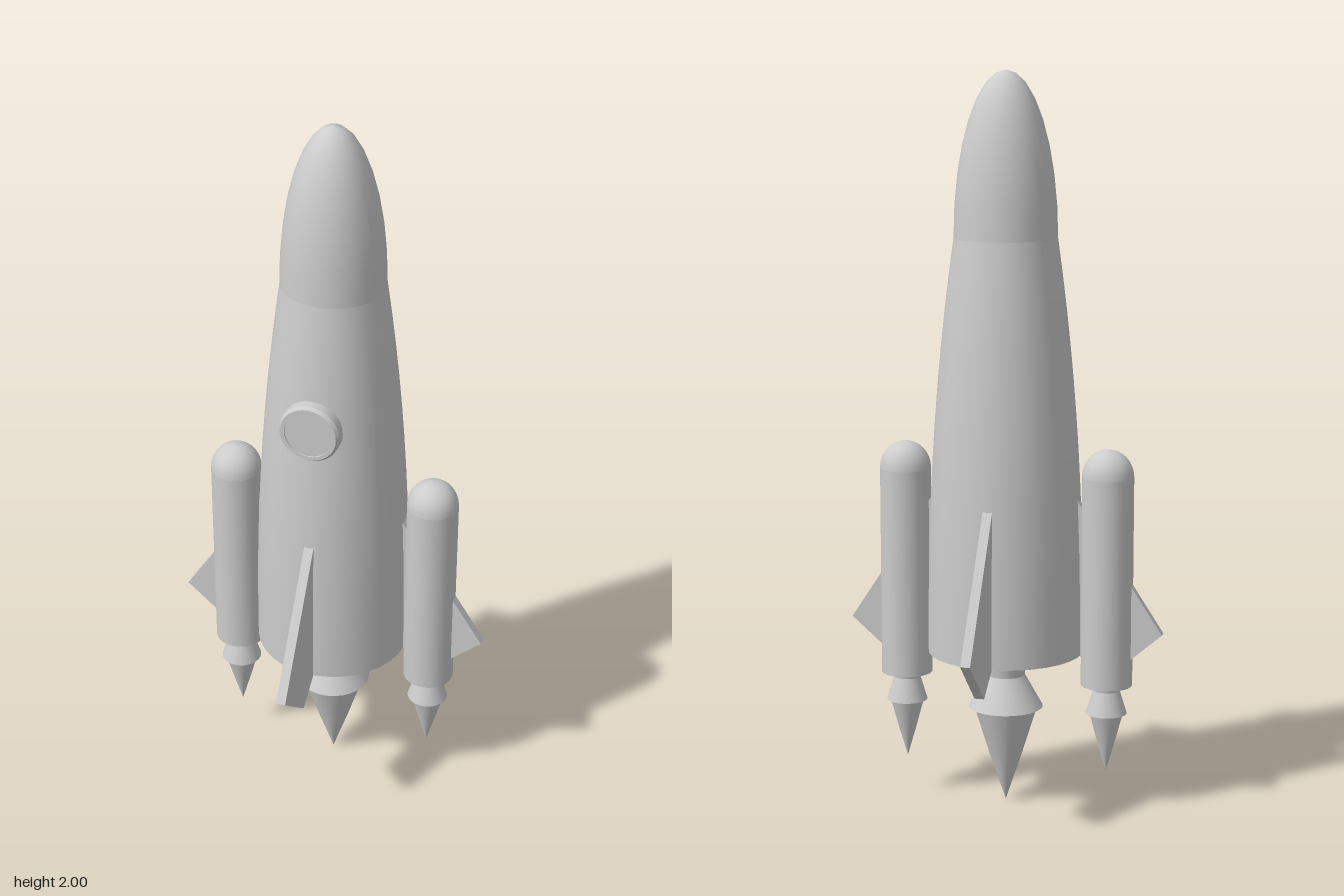
import * as THREE from 'three';
import { mergeGeometries } from 'three/addons/utils/BufferGeometryUtils.js';

// Lathe from several [radius, y] profiles listed bottom to top; each run is smooth, joints stay sharp
function turned(...runs) {
  return mergeGeometries(runs.map(run =>
    new THREE.LatheGeometry(run.map(([r, y]) => new THREE.Vector2(r, y)), 32)));
}

// Quarter-ellipse dome profile from its rim to its tip
function dome(radius, base, height, steps) {
  return Array.from({ length: steps + 1 }, (_, i) => {
    const a = (i / steps) * Math.PI / 2;
    return [i === steps ? 0 : radius * Math.cos(a), base + height * Math.sin(a)];
  });
}

export function createModel() {
  const rocket = new THREE.Group();
  rocket.name = 'rocket';
  const grey = new THREE.MeshStandardMaterial({ color: 0xcccccc });
  grey.name = 'light grey';

  function add(parent, name, geometry) {
    const mesh = new THREE.Mesh(geometry, grey);
    mesh.name = name;
    parent.add(mesh);
    return mesh;
  }

  // Tapering hull with a flat base
  const hull = [];
  for (let i = 0; i <= 12; i++) {
    const t = i / 12;
    hull.push([0.212 - 0.073 * Math.pow(t, 2.2), 0.43 + 1.13 * t]);
  }
  add(rocket, 'hull', turned([[0, 0.43], [0.212, 0.43]], hull));
  add(rocket, 'noseCone', turned(dome(0.139, 1.56, 0.44, 8)));

  // Flared nozzle and pointed flame
  function engine(parent, top, neckY, neck, rimY, rim, throat, flame, tipY) {
    add(parent, 'nozzle', turned(
      [[0, rimY], [rim, rimY]],
      [[rim, rimY], [neck, neckY]],
      [[neck, neckY], [throat, top]]));
    add(parent, 'flame', turned([[0, tipY], [flame * 0.52, (tipY + rimY) / 2], [flame, rimY]]));
  }
  engine(rocket, 0.44, 0.36, 0.052, 0.27, 0.102, 0.064, 0.087, 0);

  // Side boosters
  for (const side of [-1, 1]) {
    const booster = new THREE.Group();
    booster.name = side > 0 ? 'leftBooster' : 'rightBooster';
    booster.position.x = side * 0.282;
    add(booster, 'tank', turned(
      [[0, 0.35], [0.07, 0.35]],
      [[0.07, 0.35], [0.07, 0.925]],
      dome(0.07, 0.925, 0.075, 8)));
    engine(booster, 0.36, 0.335, 0.036, 0.27, 0.056, 0.04, 0.046, 0.105);
    rocket.add(booster);
  }

  // Four swept fins
  const outline = new THREE.Shape([
    [0.17, 0.44], [0.2, 0.435], [0.29, 0.374], [0.435, 0.5], [0.2, 0.86], [0.17, 0.86],
  ].map(([x, y]) => new THREE.Vector2(x, y)));
  const finGeometry = new THREE.ExtrudeGeometry(outline, { depth: 0.026, bevelEnabled: false });
  finGeometry.translate(0, 0, -0.013);
  for (let i = 0; i < 4; i++) {
    add(rocket, 'fin', finGeometry).rotation.y = i * Math.PI / 2;
  }

  // Porthole: bevelled frame with a slightly recessed pane
  const porthole = new THREE.Group();
  porthole.name = 'porthole';
  porthole.position.set(0, 1.215, 0);
  porthole.rotation.x = Math.PI / 2;
  add(porthole, 'frame', turned(
    [[0, 0.167], [0.083, 0.167]],
    [[0.083, 0.167], [0.083, 0.194]],
    [[0.083, 0.194], [0.076, 0.203]],
    [[0.076, 0.203], [0.066, 0.203]],
    [[0.066, 0.203], [0.066, 0.199]]));
  add(porthole, 'pane', turned([[0.066, 0.199], [0, 0.199]]));
  rocket.add(porthole);

  return rocket;
}
